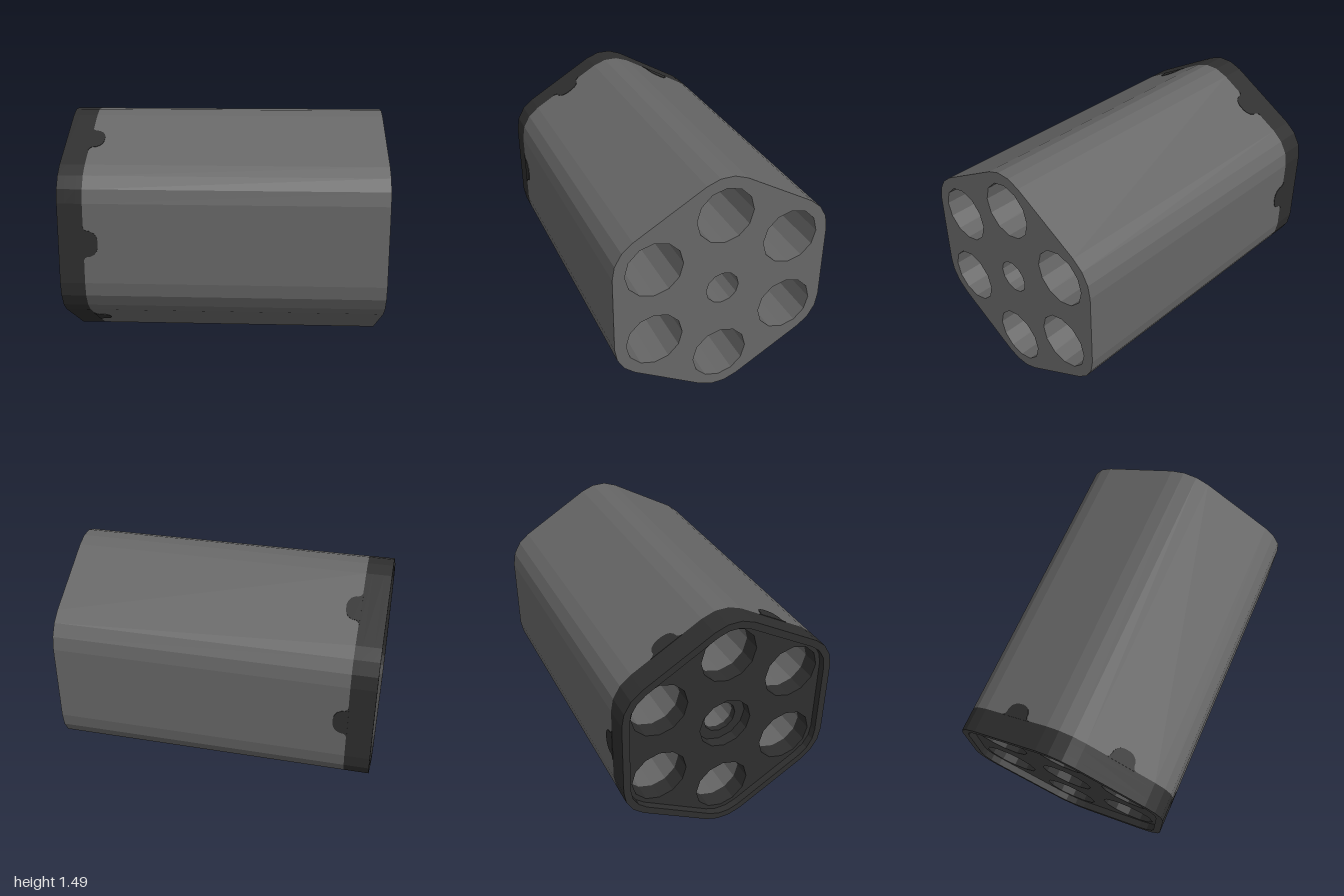
import * as THREE from 'three';

const CENTER_Y = 0.75, BORE_DIST = 0.5, CORNER_R = 0.25;
const SEAM = -0.845; // where the dark end cap meets the body

// The six bore centres, which are also the centres of the rounded corners
const corners = Array.from({ length: 6 }, (_, i) => {
  const a = Math.PI / 2 + i * Math.PI / 3;
  return { a, x: BORE_DIST * Math.cos(a), y: BORE_DIST * Math.sin(a) };
});

// Hexagon with rounded corners, three flats to each corner
function hexPoints(r) {
  const pts = [];
  for (const c of corners) {
    for (let k = 0; k <= 3; k++) {
      const t = c.a - Math.PI / 6 + k * Math.PI / 9;
      pts.push(new THREE.Vector2(c.x + r * Math.cos(t), c.y + r * Math.sin(t)));
    }
  }
  return pts;
}

function roundHole(x, y, r) {
  const pts = [];
  for (let i = 0; i < 12; i++) {
    const t = i * Math.PI / 6;
    pts.push(new THREE.Vector2(x + r * Math.cos(t), y + r * Math.sin(t)));
  }
  return new THREE.Path(pts);
}

// Hexagonal slab between two x positions
function slab(name, x0, x1, holes, material) {
  const shape = new THREE.Shape(hexPoints(CORNER_R));
  shape.holes.push(...holes);
  const geo = new THREE.ExtrudeGeometry(shape, { depth: x1 - x0, bevelEnabled: false });
  geo.rotateY(Math.PI / 2);
  geo.translate(x0, CENTER_Y, 0);
  const mesh = new THREE.Mesh(geo, material);
  mesh.name = name;
  return mesh;
}

function boreHoles(centreRadius) {
  return [...corners.map(c => roundHole(c.x, c.y, 0.178)), roundHole(0, 0, centreRadius)];
}

export function createModel() {
  const bodyGrey = new THREE.MeshStandardMaterial({ color: 0x666666 });
  bodyGrey.name = 'bodyGrey';
  const capBlack = new THREE.MeshStandardMaterial({ color: 0x2e2e2e });
  capBlack.name = 'capBlack';

  const model = new THREE.Group();
  model.name = 'sixBoreBlock';

  // Long body with six bores and a central channel
  model.add(slab('body', SEAM, 1, boreHoles(0.105), bodyGrey));

  // Dark end cap: floor, plate with wider centre recess, raised rim
  const cap = new THREE.Group();
  cap.name = 'endCap';
  cap.add(slab('capFloor', -0.885, SEAM, boreHoles(0.105), capBlack));
  cap.add(slab('capPlate', -0.955, -0.885, boreHoles(0.17), capBlack));
  cap.add(slab('capRim', -1, -0.955, [new THREE.Path(hexPoints(CORNER_R - 0.045))], capBlack));
  model.add(cap);

  // Rounded tab reaching from the cap onto the middle of each flat side
  const half = [[0.11, -0.003], [0.09, 0.007], [0.082, 0.02], [0.08, 0.04], [0.066, 0.066], [0.045, 0.08], [0.02, 0.087]];
  const outline = [...half, ...half.map(([u, v]) => [-u, v]).reverse()];
  const tabGeo = new THREE.ExtrudeGeometry(
    new THREE.Shape(outline.map(([u, v]) => new THREE.Vector2(u, v))),
    { depth: 0.006, bevelEnabled: false });
  tabGeo.rotateZ(-Math.PI / 2);
  const faceDist = BORE_DIST * Math.cos(Math.PI / 6) + CORNER_R;
  tabGeo.translate(SEAM, 0, faceDist - 0.003);
  for (let i = 0; i < 6; i++) {
    const tab = new THREE.Mesh(tabGeo, capBlack);
    tab.name = 'capTab' + (i + 1);
    tab.position.y = CENTER_Y;
    tab.rotation.x = i * Math.PI / 3;
    model.add(tab);
  }
  return model;
}
